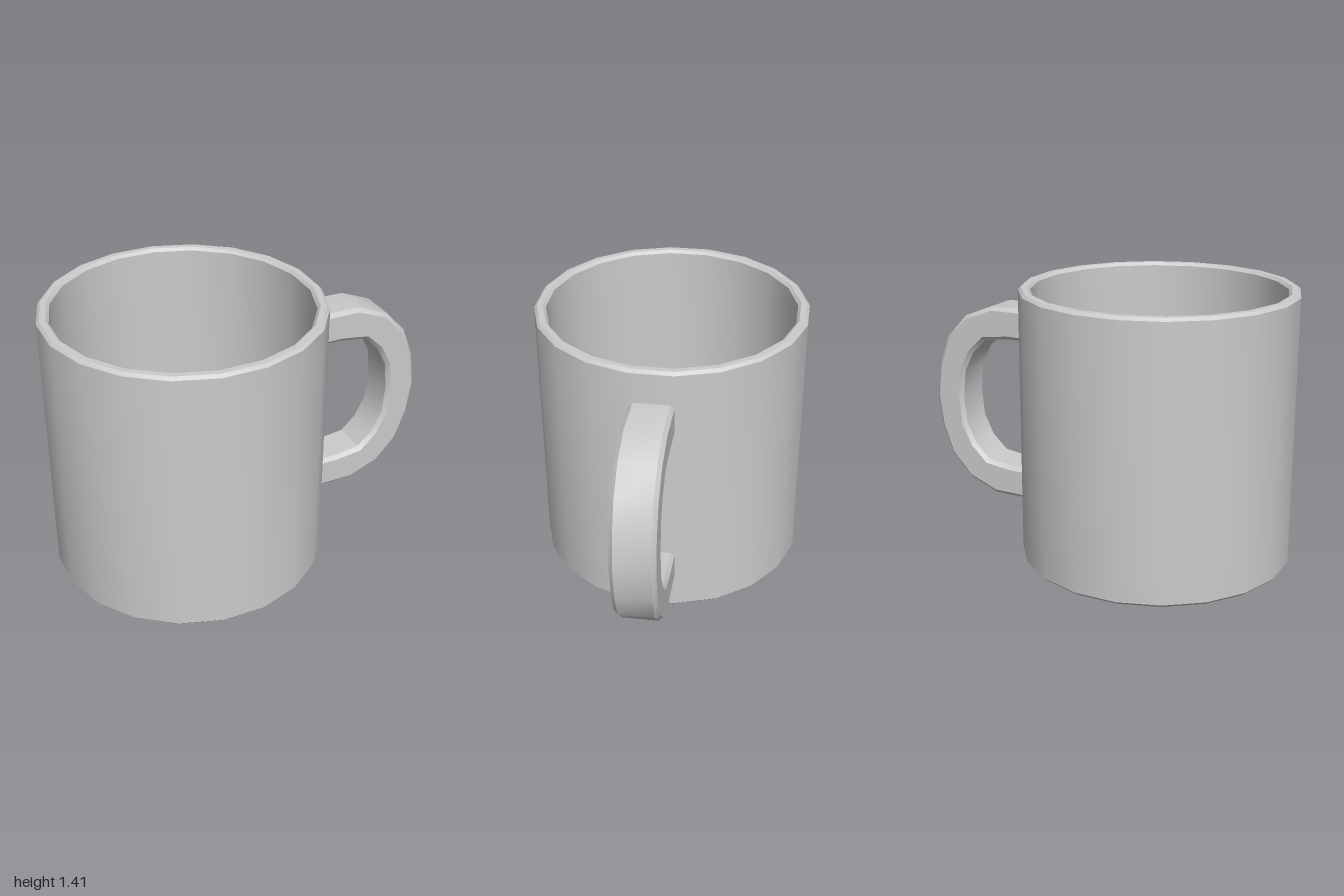
import * as THREE from 'three';
import { toCreasedNormals } from 'three/addons/utils/BufferGeometryUtils.js';

const SIDES = 20;
const RADIUS = 0.705, INNER = 0.645, HEIGHT = 1.415, FLOOR = 0.06;
const CENTER_X = -0.295, MID_Y = 0.71, BEVEL = 0.02;

export function createModel() {
  const model = new THREE.Group();
  model.name = 'mug';
  const material = new THREE.MeshStandardMaterial({ color: 0xcccccc });

  const add = (name, geometry) => {
    const mesh = new THREE.Mesh(toCreasedNormals(geometry, 0.5), material);
    mesh.name = name;
    mesh.position.x = CENTER_X;
    model.add(mesh);
    return mesh;
  };

  // Hollow body: outer wall, chamfered rim, inner wall and floor
  const c = 0.015;
  const profile = [
    [0, 0], [RADIUS - c, 0], [RADIUS, c], [RADIUS, HEIGHT - c], [RADIUS - c, HEIGHT],
    [INNER + c, HEIGHT], [INNER, HEIGHT - c], [INNER, FLOOR], [0, FLOOR],
  ].map(([x, y]) => new THREE.Vector2(x, y));
  add('body', new THREE.LatheGeometry(profile, SIDES));

  // Handle: upper half of each edge as [distance from body axis, height above middle]
  const outer = [[0.66, 0.53], [0.93, 0.527], [1.097, 0.46], [1.213, 0.335], [1.272, 0.18]];
  const inner = [[0.66, 0.357], [0.83, 0.357], [0.975, 0.338], [1.058, 0.26], [1.113, 0.15]];
  const mirrored = (half, tip) =>
    [...half, [tip, 0], ...half.map(([x, y]) => [x, -y]).reverse()];
  const outline = [...mirrored(outer, 1.297), ...mirrored(inner, 1.128).reverse()]
    .map(([x, y]) => new THREE.Vector2(x, y + MID_Y));

  // As wide as one facet of the body, and centred on that facet
  const halfAngle = Math.PI / SIDES;
  const depth = 2 * RADIUS * Math.sin(halfAngle) - 2 * BEVEL;
  const handleGeometry = new THREE.ExtrudeGeometry(new THREE.Shape(outline), {
    depth, bevelThickness: BEVEL, bevelSize: BEVEL, bevelOffset: -BEVEL, bevelSegments: 1,
  });
  handleGeometry.translate(0, 0, -depth / 2);
  add('handle', handleGeometry).rotation.y = -halfAngle;

  return model;
}
